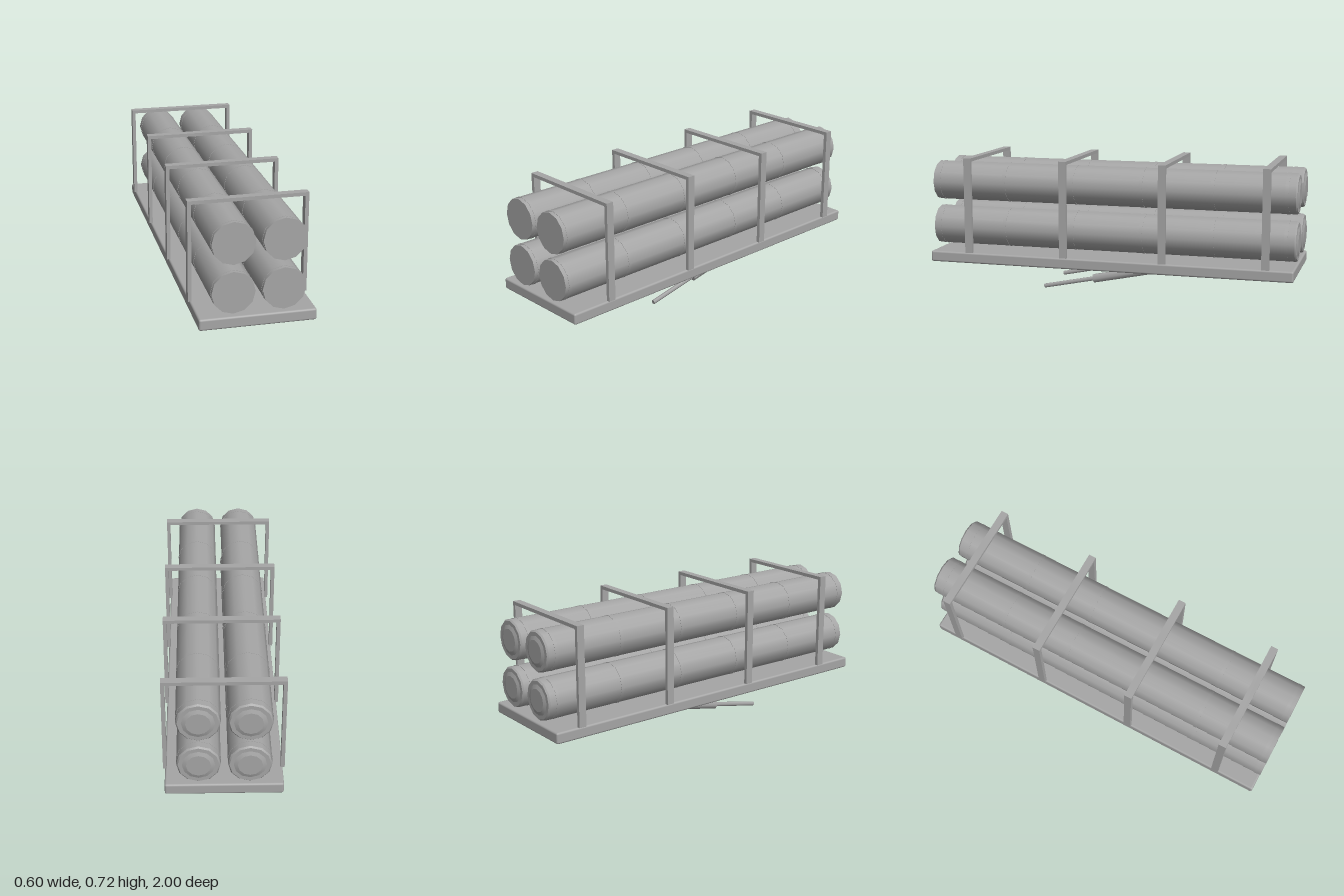
import * as THREE from 'three';
import { RoundedBoxGeometry } from 'three/addons/geometries/RoundedBoxGeometry.js';

const gray = new THREE.MeshStandardMaterial({ color: 0xa6a6a6 });
gray.name = 'plain gray';

function add(parent, name, geometry, x = 0, y = 0, z = 0) {
  const mesh = new THREE.Mesh(geometry, gray);
  mesh.name = name;
  mesh.position.set(x, y, z);
  parent.add(mesh);
  return mesh;
}

// Cylinder lying along z, from z = back to z = front
function rod(rFront, rBack, back, front, sides = 12) {
  return new THREE.CylinderGeometry(rFront, rBack, front - back, sides)
    .rotateX(Math.PI / 2).translate(0, 0, (front + back) / 2);
}

// One canister: smooth body, raised bands, bevelled rear end with a shallow cap
function createCanister() {
  const canister = new THREE.Group();
  canister.name = 'canister';
  add(canister, 'canisterBody', rod(0.107, 0.107, -0.985, 1));
  add(canister, 'rearBevel', rod(0.107, 0.1, -0.993, -0.985));
  add(canister, 'rearCap', rod(0.08, 0.06, -1, -0.993));
  for (const z of [0.97, 0.59, 0.205, -0.175, -0.557, -0.94]) {
    add(canister, 'band', rod(0.1085, 0.1085, z - 0.009, z + 0.009));
  }
  return canister;
}

// Upright hoop standing on the base
function createHoop() {
  const hoop = new THREE.Group();
  hoop.name = 'hoop';
  for (const side of [-1, 1]) {
    add(hoop, 'hoopPost', new THREE.BoxGeometry(0.019, 0.518, 0.04), side * 0.2905, 0.458, 0);
  }
  add(hoop, 'hoopBar', new THREE.BoxGeometry(0.562, 0.018, 0.04), 0, 0.708, 0);
  return hoop;
}

// Slanted lifting strut: hexagonal cylinder with a thinner piston
function createStrut() {
  const strut = new THREE.Group();
  strut.name = 'strut';
  const hexagon = (r, length, z) => new THREE.CylinderGeometry(r, r, length, 6)
    .rotateY(Math.PI / 6).rotateX(Math.PI / 2).translate(0, 0, z);
  add(strut, 'strutCylinder', hexagon(0.0245, 0.35, -0.175));
  add(strut, 'strutPiston', hexagon(0.012, 0.3, 0.137));
  strut.rotation.x = 0.205;
  return strut;
}

export function createModel() {
  const model = new THREE.Group();
  model.name = 'canisterRack';

  add(model, 'base', new RoundedBoxGeometry(0.58, 0.059, 1.99, 2, 0.01), 0, 0.168, 0.003);

  for (const x of [-0.124, 0.124]) {
    for (const y of [0.323, 0.572]) {
      const canister = createCanister();
      canister.position.set(x, y, 0);
      model.add(canister);
    }
  }

  for (const z of [0.77, 0.232, -0.307, -0.848]) {
    const hoop = createHoop();
    hoop.position.z = z;
    model.add(hoop);
  }

  for (const x of [-0.165, 0.165]) {
    const strut = createStrut();
    strut.position.set(x, 0.07, 0.1);
    model.add(strut);
  }
  return model;
}
